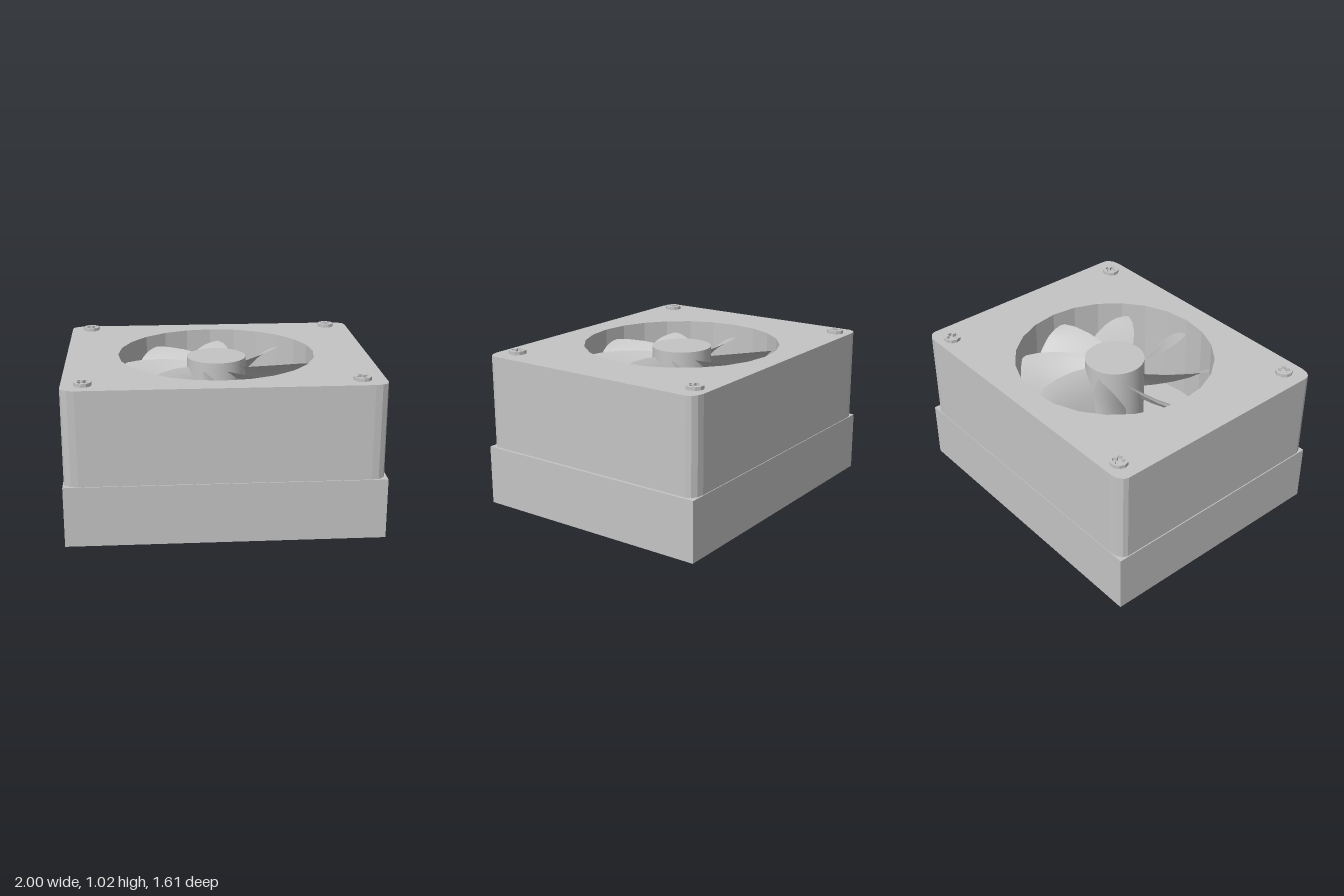
import * as THREE from 'three';

const DEG = Math.PI / 180;
const CX = -0.01, CZ = -0.005; // fan axis
const FLOOR = 0.39, TOP = 1.0;

const grey = new THREE.MeshStandardMaterial({ color: 0xc4c4c4, side: THREE.DoubleSide });
grey.name = 'grey plastic';

function part(name, geometry) {
  const mesh = new THREE.Mesh(geometry, grey);
  mesh.name = name;
  return mesh;
}

// Extrudes a plan shape (x, -z) upwards from height y.
function extrudeUp(shape, y, height) {
  const g = new THREE.ExtrudeGeometry(shape, { depth: height, bevelEnabled: false });
  return g.rotateX(-Math.PI / 2).translate(0, y, 0);
}

function ring(cx, cy, radius, sides) {
  return Array.from({ length: sides }, (_, i) => {
    const a = (i / sides) * Math.PI * 2;
    return new THREE.Vector2(cx + radius * Math.cos(a), cy + radius * Math.sin(a));
  });
}

// Hollow base tray: a box with its underside left off.
function makeBase() {
  const g = new THREE.BoxGeometry(2, FLOOR, 1.61).translate(0, FLOOR / 2, 0);
  const index = Array.from(g.index.array);
  index.splice(18, 6);
  g.setIndex(index);
  g.clearGroups();
  return part('base', g);
}

// Housing block with faceted rounded corners and a round shaft.
function makeHousing() {
  const hx = 0.99, hz = 0.803, rx = 0.09, rz = 0.06, steps = 3;
  const pts = [];
  [[1, 1], [-1, 1], [-1, -1], [1, -1]].forEach(([sx, sz], corner) => {
    for (let i = 0; i <= steps; i++) {
      const a = (corner + i / steps) * Math.PI / 2;
      pts.push(new THREE.Vector2(
        -0.005 + sx * (hx - rx) + rx * Math.cos(a),
        sz * (hz - rz) + rz * Math.sin(a)));
    }
  });
  const shape = new THREE.Shape(pts);
  shape.holes.push(new THREE.Path(ring(CX, -CZ, 0.648, 24)));
  return part('housing', extrudeUp(shape, FLOOR + 0.002, TOP - FLOOR - 0.002));
}

// Pitched, swept blade: each row runs from the low edge to the high edge.
function makeBladeGeometry() {
  // radius, low edge angle, high edge angle, low y, high y
  const rows = [
    [0.17, 119, 59, 0.70, 0.92],
    [0.28, 110, 68, 0.71, 0.93],
    [0.40, 108, 75, 0.72, 0.935],
    [0.52, 108, 81, 0.735, 0.935],
    [0.595, 109, 85, 0.75, 0.93],
    [0.615, 107, 87, 0.77, 0.92],
  ];
  const n = 6, pos = [], index = [];
  rows.forEach(([r, a0, a1, y0, y1], k) => {
    for (let j = 0; j <= n; j++) {
      const t = j / n;
      const a = (a0 + (a1 - a0) * t) * DEG;
      const camber = 0.03 * Math.sin(Math.PI * t);
      pos.push(r * Math.cos(a), y0 + (y1 - y0) * t + camber, -r * Math.sin(a));
      if (k < rows.length - 1 && j < n) {
        const p = k * (n + 1) + j, q = p + n + 1;
        index.push(p, p + 1, q, p + 1, q + 1, q);
      }
    }
  });
  const g = new THREE.BufferGeometry();
  g.setAttribute('position', new THREE.Float32BufferAttribute(pos, 3));
  g.setIndex(index);
  g.computeVertexNormals();
  return g;
}

function makeFan() {
  const fan = new THREE.Group();
  fan.name = 'fan';
  fan.position.set(CX, 0, CZ);
  const h = 0.98 - FLOOR;
  fan.add(part('hub', new THREE.CylinderGeometry(0.195, 0.195, h, 40).translate(0, FLOOR + h / 2, 0)));
  const blade = makeBladeGeometry();
  for (let i = 0; i < 8; i++) {
    const mesh = part('blade', blade);
    mesh.rotation.y = i * Math.PI / 4;
    fan.add(mesh);
  }
  return fan;
}

// Screw head with a cross-shaped recess.
function makeScrew(x, z, turn) {
  const shape = new THREE.Shape(ring(0, 0, 0.056, 10));
  const w = 0.014, l = 0.038;
  const cross = [[l, w], [w, w], [w, l], [-w, l], [-w, w], [-l, w],
    [-l, -w], [-w, -w], [-w, -l], [w, -l], [w, -w], [l, -w]];
  shape.holes.push(new THREE.Path(cross.map(([a, b]) => new THREE.Vector2(a, b))));
  const screw = part('screw', extrudeUp(shape, TOP, 0.022));
  screw.position.set(x, 0, z);
  screw.rotation.y = turn * DEG;
  return screw;
}

export function createModel() {
  const model = new THREE.Group();
  model.name = 'boxed fan';
  model.add(makeBase(), makeHousing(), makeFan());
  model.add(
    makeScrew(-0.86, -0.70, 35), makeScrew(0.835, -0.70, 0),
    makeScrew(-0.86, 0.68, 45), makeScrew(0.835, 0.68, 20));
  return model;
}
